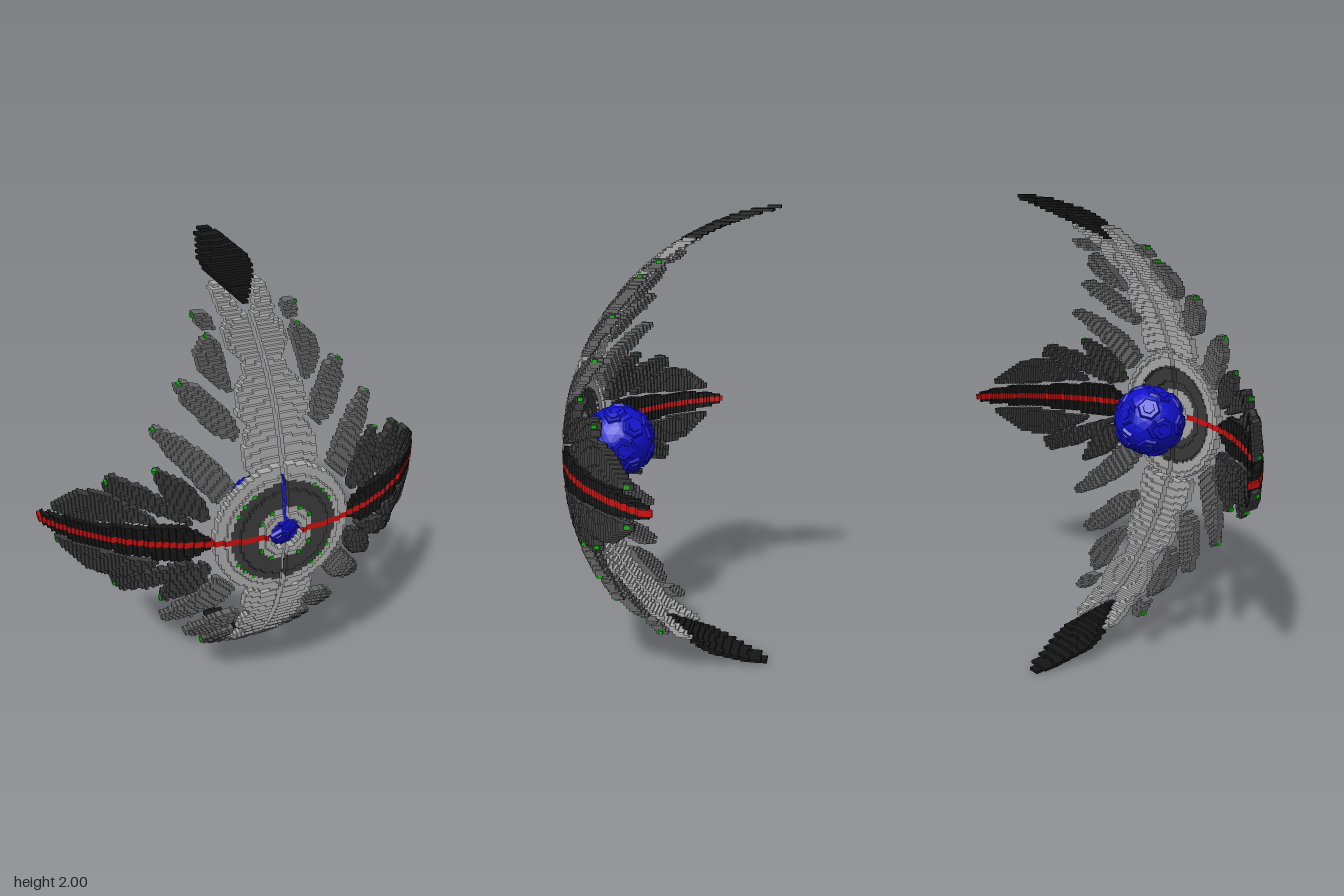
import * as THREE from 'three';
import { mergeGeometries } from 'three/addons/utils/BufferGeometryUtils.js';

const U = 0.0125;        // step of the terraced shell
const CZ = -0.57;        // centre of the shell sphere lies behind the origin
const RR = 1.01;         // squared radius of the shell
const QUADRANTS = [[1, 1], [-1, 1], [1, -1], [-1, -1]];

const mat = (color) => new THREE.MeshStandardMaterial({ color, flatShading: true });
const LIGHT = mat(0xaaaaaa), GREY = mat(0x666666), DARK = mat(0x3a3a3a), BLACK = mat(0x161616);
const RED = mat(0xcc1010), BLUE = mat(0x1010cc), GREEN = mat(0x10b010);

const depth = (r) => CZ + Math.sqrt(Math.max(0, RR - r * r));
const snap = (z) => Math.round(z / U) * U;

// fills one quadrant of a region with rows of boxes that step along the sphere
function terrace(test, sx, sy) {
  const boxes = [];
  const flush = (run, j) => {
    if (!run) return;
    const w = (run.end - run.start) * U, d = run.front - run.back;
    const g = new THREE.BoxGeometry(w, U, d);
    g.translate(sx * (run.start * U + w / 2), 1 + sy * (j + 0.5) * U, run.back + d / 2);
    boxes.push(g);
  };
  for (let j = 0; j < 80; j++) {
    let run = null;
    for (let i = 0; i < 72; i++) {
      if (!test((i + 0.5) * U, (j + 0.5) * U)) { flush(run, j); run = null; continue; }
      const front = snap(depth(Math.hypot(i * U, j * U)));
      const back = Math.max(-0.44, snap(depth(Math.hypot((i + 1) * U, (j + 1) * U)) - 0.028));
      if (run && run.front === front && run.back === back) run.end = i + 1;
      else { flush(run, j); run = { start: i, end: i + 1, front, back }; }
    }
    flush(run, j);
  }
  return boxes;
}

// half width along an axis, read from [position, half width] stations
function widthAt(stations, t) {
  for (let i = 1; i < stations.length; i++) {
    const [t0, w0] = stations[i - 1], [t1, w1] = stations[i];
    if (t >= t0 && t <= t1) return THREE.MathUtils.mapLinear(t, t0, t1, w0, w1);
  }
  return -1;
}

// leaf region from base to tip, bowed sideways, with five evenly spaced half widths
function leaf([x0, y0], [x1, y1], bend, widths) {
  const length = Math.hypot(x1 - x0, y1 - y0);
  const dx = (x1 - x0) / length, dy = (y1 - y0) / length;
  const stations = widths.map((w, i) => [i / (widths.length - 1), w]);
  return (x, y) => {
    const t = ((x - x0) * dx + (y - y0) * dy) / length;
    const side = (y - y0) * dx - (x - x0) * dy;
    return Math.abs(side - bend * 4 * t * (1 - t)) < widthAt(stations, t);
  };
}

// base, tip, bend and half widths of the feathers in one quadrant
const FEATHERS = [
  ['wingFeatherOuter', DARK, [.48, .085], [.82, .075], .05, [0, .035, .06, .055, .01]],
  ['wingFeatherMiddle', DARK, [.365, .09], [.64, .235], .012, [.005, .024, .036, .038, .03]],
  ['wingFeatherInner', DARK, [.31, .11], [.475, .295], 0, [.02, .042, .054, .037, .01]],
  ['diagonalFeather', GREY, [.235, .205], [.455, .44], .012, [.052, .055, .05, .04, .015]],
  ['upperFeatherLarge', GREY, [.165, .415], [.335, .59], 0, [.02, .046, .046, .045, .02]],
  ['upperFeatherSmall', GREY, [.155, .565], [.19, .73], -.027, [.01, .036, .053, .055, .02]],
  ['upperFeatherTiny', GREY, [.15, .765], [.215, .79], 0, [.012, .025, .028, .02, .008]],
];

// half widths of the parts lying along the two main axes
const BLADE = [[.29, .01], [.38, .07], [.48, .072], [.74, .046], [.82, .042], [.88, .012]];
const SPINE = [[.28, .14], [.32, .155], [.4, .14], [.44, .105], [.48, .145], [.56, .14], [.61, .085],
  [.65, .08], [.7, .125], [.74, .13], [.77, .1], [.84, .12], [.875, .1]];
const TIP = [[.81, 0], [.84, .04], [.92, .105], [.975, .055], [1, .022]];

const RINGS = [['innerRing', LIGHT, .07, .12], ['middleRing', DARK, .12, .225], ['outerRing', LIGHT, .225, .285]];

function createBall() {
  const ball = new THREE.Group();
  ball.name = 'ball';
  const core = new THREE.Mesh(new THREE.IcosahedronGeometry(0.153, 4), BLUE);
  core.name = 'ballCore';
  ball.add(core);
  // raised six and five sided panels, each stepped twice
  const up = new THREE.Vector3(0, 1, 0);
  const addPanels = (source, sides, radius) => {
    const seen = new Set(), p = source.attributes.position;
    for (let i = 0; i < p.count; i++) {
      const dir = new THREE.Vector3().fromBufferAttribute(p, i).normalize();
      const key = dir.toArray().map((v) => Math.round(v * 100)).join();
      if (seen.has(key)) continue;
      seen.add(key);
      [[radius, 0.15], [radius * 0.55, 0.155]].forEach(([r, dist]) => {
        const panel = new THREE.Mesh(new THREE.CylinderGeometry(r * 0.85, r, 0.012, sides), BLUE);
        panel.name = 'ballPanel';
        panel.quaternion.setFromUnitVectors(up, dir);
        panel.position.copy(dir).multiplyScalar(dist);
        ball.add(panel);
      });
    }
  };
  addPanels(new THREE.DodecahedronGeometry(1), 6, 0.052);
  addPanels(new THREE.IcosahedronGeometry(1), 5, 0.045);
  ball.position.set(0, 1, 0.235);
  return ball;
}

export function createModel() {
  const model = new THREE.Group();
  model.name = 'featheredShield';
  const add = (name, boxes, material) => {
    const mesh = new THREE.Mesh(mergeGeometries(boxes), material);
    mesh.name = name;
    model.add(mesh);
  };
  // repeats a region in all four quadrants
  const addMirrored = (name, material, test) =>
    add(name, QUADRANTS.flatMap(([sx, sy]) => terrace(test, sx, sy)), material);

  // feathers
  for (const [name, material, base, tip, bend, widths] of FEATHERS)
    addMirrored(name, material, leaf(base, tip, bend, widths));

  // wing blades either side of the red band, forked spine plates and their tips
  addMirrored('wingBlade', BLACK, (x, y) => y > 0.0125 && y < widthAt(BLADE, x));
  addMirrored('spinePlate', LIGHT, (x, y) =>
    x > Math.max(0.01, (y - 0.75) * 0.6) && x < widthAt(SPINE, y) && Math.hypot(x, y) > 0.305);
  addMirrored('spineTip', BLACK, (x, y) => x < widthAt(TIP, y));

  // concentric rings, split by a narrow slit down the middle
  for (const [name, material, r0, r1] of RINGS)
    addMirrored(name, material, (x, y) => {
      const r = Math.hypot(x, y);
      return x > 0.01 && y > 0.0125 && r >= r0 && r < r1;
    });

  // red band running across the middle
  addMirrored('redBand', RED, (x, y) => x > 0.07 && x < 0.875 && y < 0.0125);

  // green studs on the feather tips and rings
  const spots = FEATHERS.map((feather) => feather[3]);
  for (const [r, degrees] of [[.225, 55], [.225, 42], [.225, 30], [.12, 60], [.12, 32]]) {
    const a = THREE.MathUtils.degToRad(degrees);
    spots.push([r * Math.cos(a), r * Math.sin(a)]);
  }
  add('greenStuds', QUADRANTS.flatMap(([sx, sy]) => spots.map(([x, y]) =>
    new THREE.BoxGeometry(0.016, 0.014, 0.02)
      .translate(sx * x, 1 + sy * y, depth(Math.hypot(x, y)) - 0.005))), GREEN);

  model.add(createBall());
  return model;
}
